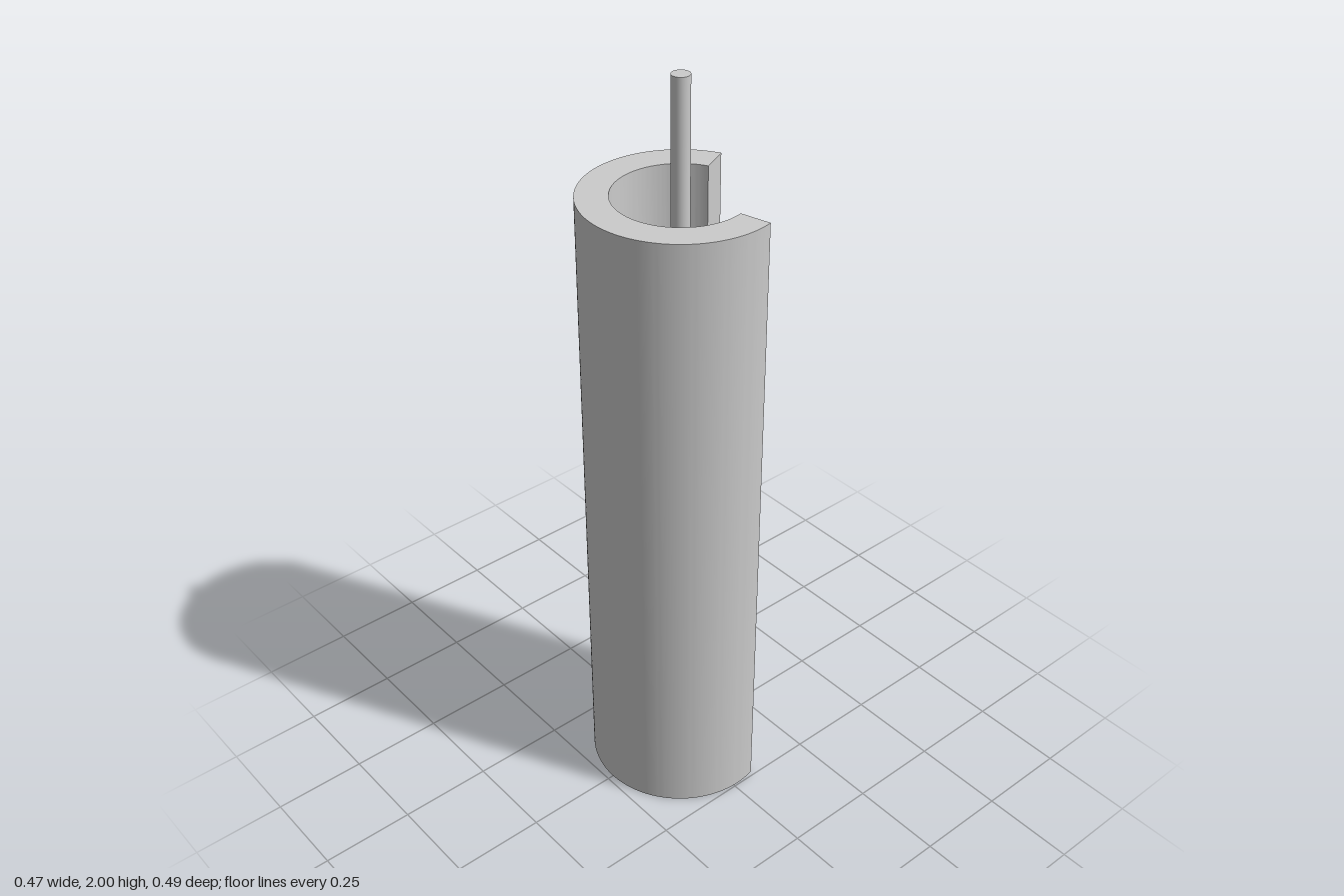
import * as THREE from 'three';
import { toCreasedNormals } from 'three/addons/utils/BufferGeometryUtils.js';

const grey = new THREE.MeshStandardMaterial({ color: 0xcccccc });
const brass = new THREE.MeshStandardMaterial({ color: 0xd8b870 });
const dark = new THREE.MeshStandardMaterial({ color: 0x6a7079 });

// Both tubes are cut open over the same wedge
const START = THREE.MathUtils.degToRad(26);
const END = THREE.MathUtils.degToRad(284);

// Upright tube wall with the wedge left out
function cutTube(outer, inner, height) {
  const shape = new THREE.Shape();
  shape.absarc(0, 0, outer, START, END, false);
  shape.absarc(0, 0, inner, END, START, true);
  shape.closePath();
  const geometry = new THREE.ExtrudeGeometry(shape, { depth: height, bevelEnabled: false, curveSegments: 64 });
  geometry.rotateX(-Math.PI / 2);
  return toCreasedNormals(geometry, 0.5);
}

export function createModel() {
  const model = new THREE.Group();
  model.name = 'cutawayTube';

  function add(name, geometry, material, y) {
    const mesh = new THREE.Mesh(geometry, material);
    mesh.name = name;
    mesh.position.set(0.012, y, 0);
    model.add(mesh);
  }

  // Casing and the sleeve floating inside it
  add('outerCasing', cutTube(0.245, 0.165, 1.71), grey, 0);
  add('innerSleeve', cutTube(0.143, 0.098, 0.68), brass, 0.655);

  // Rod hanging into the open top
  add('topRod', new THREE.CylinderGeometry(0.023, 0.023, 0.405, 32), grey, 1.7975);

  // Balls on the axis, the lower one circled by a ring
  add('upperBall', new THREE.SphereGeometry(0.054, 40, 24), brass, 1.215);
  add('lowerBall', new THREE.SphereGeometry(0.06, 40, 24), brass, 0.226);
  add('lowerRing', new THREE.TorusGeometry(0.0875, 0.011, 16, 64).rotateX(Math.PI / 2), dark, 0.226);

  return model;
}
